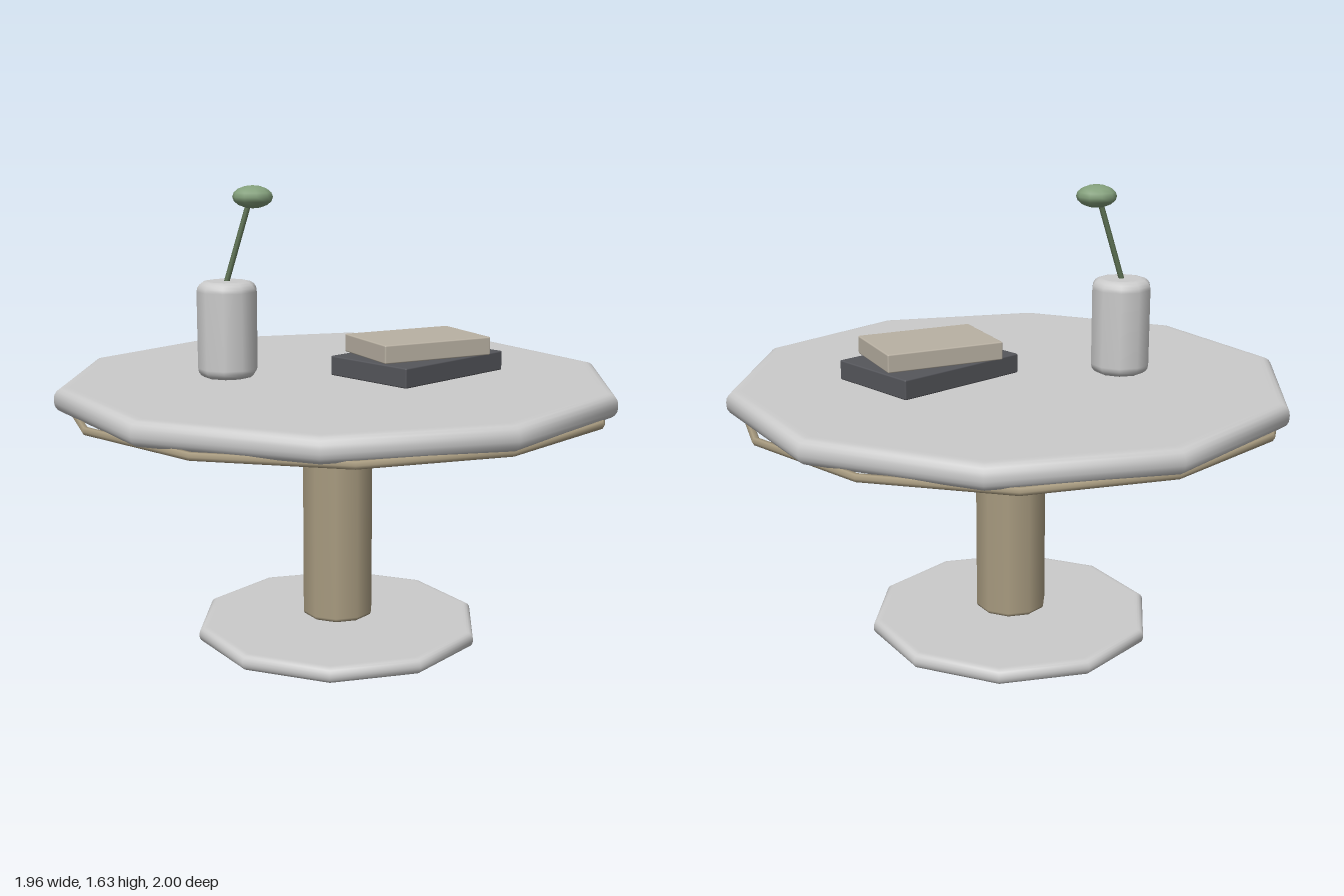
import * as THREE from 'three';
import { RoundedBoxGeometry } from 'three/addons/geometries/RoundedBoxGeometry.js';

const paint = (color) => new THREE.MeshStandardMaterial({ color });
const grey = paint(0xcccccc);
const wood = paint(0xa89b80);

function add(parent, name, geometry, material, x = 0, y = 0, z = 0) {
  const mesh = new THREE.Mesh(geometry, material);
  mesh.name = name;
  mesh.position.set(x, y, z);
  parent.add(mesh);
  return mesh;
}

// Ten-sided closed disc or post with rounded rims, standing on its own y = 0
function roundedPost(radius, height, bevel) {
  const points = [[0, 0], [(radius - bevel) * 0.98, 0]];
  const steps = 4;
  for (const [cy, start] of [[bevel, -Math.PI / 2], [height - bevel, 0]]) {
    for (let i = 0; i <= steps; i++) {
      const a = start + (i / steps) * Math.PI / 2;
      points.push([radius - bevel + bevel * Math.cos(a), cy + bevel * Math.sin(a)]);
    }
  }
  points.push([(radius - bevel) * 0.98, height], [0, height]);
  // drop coincident points where the two bevels meet
  const profile = points
    .filter((p, i) => !i || Math.hypot(p[0] - points[i - 1][0], p[1] - points[i - 1][1]) > 1e-5)
    .map(([x, y]) => new THREE.Vector2(x, y));
  return new THREE.LatheGeometry(profile, 10);
}

export function createModel() {
  const model = new THREE.Group();
  model.name = 'pedestalTable';

  // Table
  add(model, 'base', roundedPost(0.52, 0.055, 0.024), grey);
  add(model, 'column', roundedPost(0.13, 0.81, 0.015), wood, 0, 0.07, 0);
  add(model, 'tableTop', roundedPost(1, 0.085, 0.036), grey, 0, 0.88, 0);
  const trim = add(model, 'edgeTrim', new THREE.TorusGeometry(0.967, 0.014, 6, 12), wood, 0, 0.878, 0);
  trim.rotation.x = Math.PI / 2;

  // Vase with one flower
  const vase = new THREE.Group();
  vase.name = 'vaseWithFlower';
  vase.position.set(-0.35, 0.965, -0.175);
  model.add(vase);
  add(vase, 'vase', roundedPost(0.107, 0.34, 0.035), grey);

  const from = new THREE.Vector3(-0.018, 0.27, -0.008);
  const to = new THREE.Vector3(0.074, 0.62, 0.04);
  const stem = add(vase, 'stem', new THREE.CylinderGeometry(0.01, 0.01, from.distanceTo(to), 8), paint(0x5c7052));
  stem.position.lerpVectors(from, to, 0.5);
  stem.quaternion.setFromUnitVectors(new THREE.Vector3(0, 1, 0), to.clone().sub(from).normalize());

  const bloom = add(vase, 'bloom', new THREE.SphereGeometry(0.071, 10, 8), paint(0x84a07c), 0.086, 0.63, 0.04);
  bloom.scale.y = 0.56;

  // Stacked books
  const lower = add(model, 'lowerBook', new RoundedBoxGeometry(0.516, 0.07, 0.363, 2, 0.005), paint(0x55565b), 0.26, 1.0, 0.125);
  lower.rotation.y = 0.205;
  const upper = add(model, 'upperBook', new RoundedBoxGeometry(0.428, 0.065, 0.302, 2, 0.005), paint(0xb9b1a3), 0.258, 1.068, 0.126);
  upper.rotation.y = -0.107;

  return model;
}
